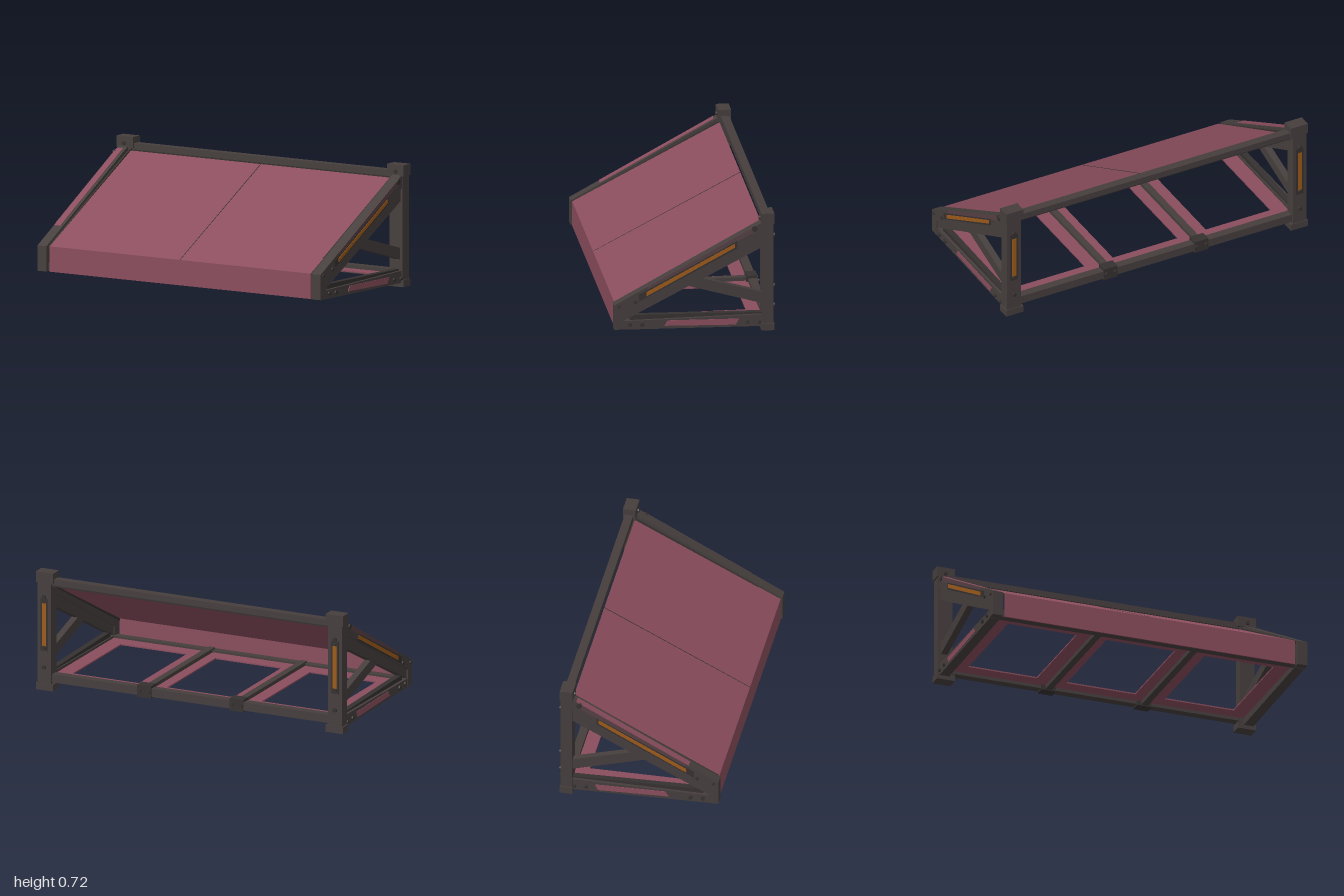
import * as THREE from 'three';

export function createModel() {
  const group = new THREE.Group();
  const mat = (name, color, side = THREE.FrontSide) => {
    const m = new THREE.MeshStandardMaterial({ color, side });
    m.name = name;
    return m;
  };
  const wood = mat('dark timber', 0x453e3d);
  const trim = mat('blackened trim', 0x353130);
  const cloth = mat('maroon cloth', 0x8a4d5d, THREE.DoubleSide);
  const stain = mat('maroon stained timber', 0x553f44);
  const orange = mat('orange inlay', 0x9c5a1a);

  const add = (name, geo, material) => {
    const mesh = new THREE.Mesh(geo, material);
    mesh.name = name;
    group.add(mesh);
    return mesh;
  };
  // Box given by its extents on each axis
  const box = (name, [x0, x1], [y0, y1], [z0, z1], material) =>
    add(name, new THREE.BoxGeometry(Math.abs(x1 - x0), y1 - y0, z1 - z0)
      .translate((x0 + x1) / 2, (y0 + y1) / 2, (z0 + z1) / 2), material);
  // Side outline of [z, y] points extruded between two x values
  const slab = (name, pts, xa, xb, material) => {
    const shape = new THREE.Shape(pts.map(([z, y]) => new THREE.Vector2(-z, y)));
    const geo = new THREE.ExtrudeGeometry(shape, { depth: Math.abs(xb - xa), bevelEnabled: false });
    return add(name, geo.rotateY(Math.PI / 2).translate(Math.min(xa, xb), 0, 0), material);
  };
  // Bolt head pointing along x or z
  const bolt = (x, y, z, r, axis, h = 0.016) => {
    const geo = new THREE.CylinderGeometry(r * 0.8, r * 0.8, h, 8);
    if (axis === 'x') geo.rotateZ(Math.PI / 2);
    else geo.rotateX(Math.PI / 2);
    add('bolt', geo.translate(x, y, z), trim);
  };

  // Canopy sheet with front valance
  slab('canopy', [[0.467, 0.04], [0.467, 0.19], [-0.4, 0.638], [-0.4, 0.628], [0.459, 0.184], [0.459, 0.04]],
    -0.905, 0.91, cloth);
  // Centre seam
  slab('canopySeam', [[0.467, 0.191], [-0.4, 0.64], [-0.4, 0.637], [0.467, 0.189]], -0.002, 0.002, trim);

  for (const s of [-1, 1]) {
    const X = (v) => s * v;
    // Rear post with end caps
    box('rearPost', [X(0.9), X(0.99)], [0.02, 0.7], [-0.462, -0.394], wood);
    box('postTopCap', [X(0.885), X(0.998)], [0.655, 0.72], [-0.466, -0.39], wood);
    box('postFoot', [X(0.885), X(0.998)], [0, 0.042], [-0.466, -0.39], wood);
    box('postInlayFrame', [X(0.92), X(0.97)], [0.24, 0.56], [-0.464, -0.46], trim);
    box('postInlay', [X(0.932), X(0.958)], [0.27, 0.53], [-0.467, -0.461], orange);

    // Sloped beam ending in a short front upright
    slab('slopedBeam', [[0.475, 0.04], [0.475, 0.19], [-0.395, 0.662], [-0.395, 0.585], [0.42, 0.145], [0.42, 0.04]],
      X(0.922), X(0.985), wood);
    slab('slopedBeamLower', [[0.42, 0.146], [-0.395, 0.586], [-0.395, 0.507], [0.42, 0.09]],
      X(0.93), X(0.975), wood);
    slab('canopyEdgeStrip', [[0.46, 0.192], [-0.395, 0.645], [-0.395, 0.62], [0.46, 0.172]],
      X(0.905), X(0.917), trim);
    slab('stainedEdge', [[0.28, 0.297], [-0.36, 0.644], [-0.36, 0.61], [0.28, 0.28]],
      X(0.984), X(0.987), stain);
    slab('beamInlayFrame', [[0.33, 0.25], [-0.25, 0.557], [-0.25, 0.51], [0.33, 0.208]],
      X(0.98), X(0.987), trim);
    slab('beamInlay', [[0.285, 0.265], [-0.235, 0.54], [-0.235, 0.516], [0.285, 0.24]],
      X(0.982), X(0.99), orange);

    // Diagonal brace
    slab('brace', [[0.1, 0.305], [0.03, 0.35], [-0.395, 0.23], [-0.395, 0.162]], X(0.932), X(0.972), wood);

    // Bottom side rail with upper lip and painted patch
    slab('sideRail', [[0.425, 0.038], [0.425, 0.09], [-0.395, 0.096], [-0.395, 0.024]], X(0.922), X(0.982), wood);
    slab('sideRailLip', [[0.38, 0.12], [-0.395, 0.105], [-0.395, 0.09], [0.38, 0.086]], X(0.93), X(0.965), trim);
    slab('railPatch', [[0.18, 0.052], [0.16, 0.084], [-0.26, 0.076], [-0.24, 0.04]], X(0.981), X(0.985), cloth);

    // Bolts on the outer sides and on the post
    for (const [y, z, r] of [[0.625, -0.352, 0.021], [0.205, 0.35, 0.014], [0.18, 0.447, 0.011],
      [0.068, 0.382, 0.015], [0.064, 0.31, 0.016], [0.054, -0.31, 0.013], [0.05, -0.38, 0.013]])
      bolt(X(0.984), y, z, r, 'x');
    for (const y of [0.14, 0.26, 0.57]) bolt(X(0.945), y, -0.465, 0.016, 'z', 0.02);
    for (const y of [0.63, 0.68]) bolt(X(0.945), y, -0.388, 0.014, 'z');

    // Floor crossbeam with its rear bracket
    box('floorCrossbeam', [X(0.28), X(0.32)], [0.045, 0.1], [-0.42, 0.44], wood);
    box('crossbeamBracket', [X(0.255), X(0.345)], [0.04, 0.115], [-0.455, -0.39], trim);
    for (const x of [0.27, 0.33]) bolt(X(x), 0.08, -0.458, 0.016, 'z');
  }
  // Maroon top face of the left-hand sloped beam
  slab('beamTopPaint', [[0.3, 0.288], [-0.37, 0.652], [-0.37, 0.648], [0.3, 0.284]], -0.982, -0.94, cloth);

  // Rear top beam and its lower lip
  box('topBeam', [-0.9, 0.9], [0.645, 0.682], [-0.455, -0.405], wood);
  box('topBeamLip', [-0.9, 0.9], [0.632, 0.648], [-0.445, -0.415], trim);
  // Floor frame ends
  box('rearFloorBeam', [-0.9, 0.9], [0.05, 0.1], [-0.45, -0.4], wood);
  box('frontFloorBeam', [-0.92, 0.92], [0.042, 0.09], [0.41, 0.455], wood);

  // Floor cloth with an opening in each bay
  const floor = new THREE.Shape([[-0.925, -0.42], [0.925, -0.42], [0.925, 0.42], [-0.925, 0.42]]
    .map(([x, y]) => new THREE.Vector2(x, y)));
  for (const cx of [-0.615, 0, 0.615]) {
    const w = 0.215, d = 0.32;
    floor.holes.push(new THREE.Path([[cx - w, -d], [cx - w, d], [cx + w, d], [cx + w, -d]]
      .map(([x, y]) => new THREE.Vector2(x, y))));
  }
  add('floorCloth', new THREE.ExtrudeGeometry(floor, { depth: 0.008, bevelEnabled: false })
    .rotateX(-Math.PI / 2).translate(0, 0.07, 0), cloth);

  return group;
}
